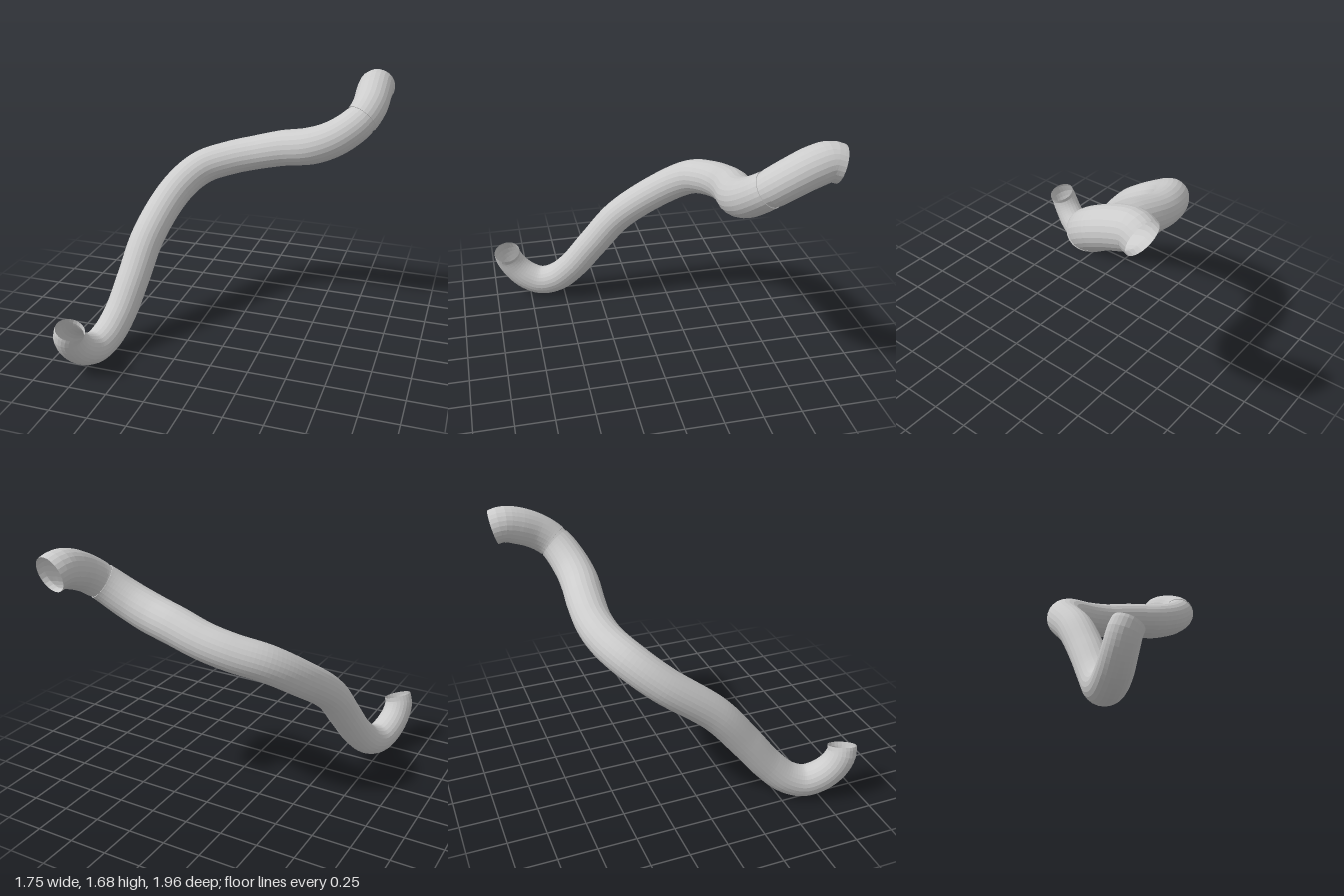
import * as THREE from 'three';

// Centreline of the pipe: x, y, z and radius, from the low front end to the high rear end
const PATH = [
  [-0.765, 0.35, 0.902, 0.093],
  [-0.782, 0.305, 0.895, 0.095],
  [-0.78, 0.22, 0.85, 0.098],
  [-0.757, 0.143, 0.77, 0.102],
  [-0.725, 0.105, 0.665, 0.104],
  [-0.69, 0.14, 0.55, 0.105],
  [-0.65, 0.25, 0.43, 0.105],
  [-0.615, 0.44, 0.28, 0.108],
  [-0.58, 0.67, 0.085, 0.111],
  [-0.49, 0.9, -0.225, 0.115],
  [-0.36, 1.02, -0.38, 0.117],
  [-0.18, 1.082, -0.465, 0.117],
  [0, 1.13, -0.495, 0.118],
  [0.2, 1.185, -0.487, 0.123],
  [0.4, 1.228, -0.465, 0.126],
  [0.56, 1.297, -0.478, 0.122],
  [0.7, 1.405, -0.542, 0.115],
  [0.744, 1.482, -0.64, 0.118],
  [0.748, 1.542, -0.77, 0.121],
  [0.746, 1.566, -0.87, 0.118],
  [0.758, 1.55, -0.932, 0.114],
];
const JOINT = 16;   // path point where the two pipe pieces meet
const RINGS = 140;
const SIDES = 24;

const curve = new THREE.CatmullRomCurve3(PATH.map(([x, y, z]) => new THREE.Vector3(x, y, z)));

function radiusAt(t) {
  const f = t * (PATH.length - 1);
  const i = Math.min(Math.floor(f), PATH.length - 2);
  return THREE.MathUtils.lerp(PATH[i][3], PATH[i + 1][3], f - i);
}

// Skin a list of [ring index, radius scale] along the centreline
function sweep(name, rings, frames) {
  const positions = [];
  const indices = [];
  rings.forEach(([ring, scale], row) => {
    const t = curve.getUtoTmapping(ring / RINGS);
    const centre = curve.getPoint(t);
    const r = radiusAt(t) * scale;
    for (let j = 0; j < SIDES; j++) {
      const a = (j / SIDES) * Math.PI * 2;
      const p = centre.clone()
        .addScaledVector(frames.normals[ring], Math.cos(a) * r)
        .addScaledVector(frames.binormals[ring], Math.sin(a) * r);
      positions.push(p.x, p.y, p.z);
      if (row < rings.length - 1) {
        const here = row * SIDES + j;
        const side = row * SIDES + (j + 1) % SIDES;
        indices.push(here, side, here + SIDES, side, side + SIDES, here + SIDES);
      }
    }
  });
  const geometry = new THREE.BufferGeometry();
  geometry.setAttribute('position', new THREE.Float32BufferAttribute(positions, 3));
  geometry.setIndex(indices);
  geometry.computeVertexNormals();
  const mesh = new THREE.Mesh(geometry, new THREE.MeshStandardMaterial({
    color: 0xcccccc, flatShading: true, side: THREE.DoubleSide,
  }));
  mesh.name = name;
  return mesh;
}

const range = (from, to) => Array.from({ length: to - from + 1 }, (_, i) => [from + i, 1]);

export function createModel() {
  const group = new THREE.Group();
  group.name = 'bentPipe';
  const frames = curve.computeFrenetFrames(RINGS, false);

  let joint = 0;
  while (curve.getUtoTmapping(joint / RINGS) < JOINT / (PATH.length - 1)) joint++;

  // Long open pipe, shallow groove at the joint, short open elbow
  group.add(sweep('longPipe', range(0, joint - 1), frames));
  group.add(sweep('jointGroove', [[joint - 1, 1], [joint - 1, 0.96], [joint, 0.96], [joint, 1]], frames));
  group.add(sweep('endElbow', range(joint, RINGS), frames));
  return group;
}
